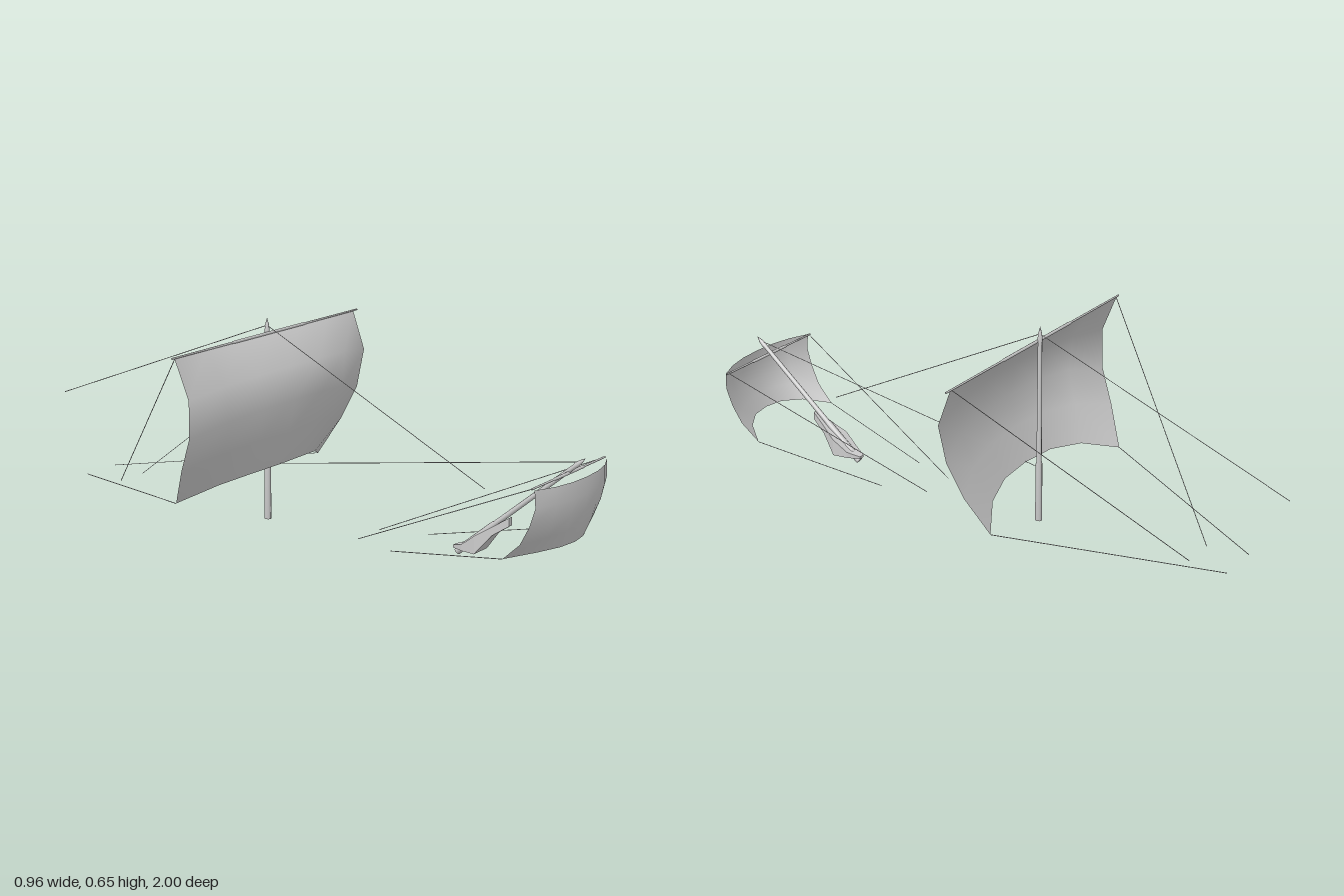
import * as THREE from 'three';

const mat = new THREE.MeshStandardMaterial({ color: 0xcccccc, side: THREE.DoubleSide });
const CX = -0.005; // shared centre line of masts and sails
const v = (x, y, z) => new THREE.Vector3(x, y, z);

function add(group, name, geometry) {
  const mesh = new THREE.Mesh(geometry, mat);
  mesh.name = name;
  group.add(mesh);
  return mesh;
}

// Indexed surface through a grid of points, rows by columns
function gridSurface(rows) {
  const n = rows[0].length, index = [];
  for (let r = 0; r < rows.length - 1; r++) {
    for (let c = 0; c < n - 1; c++) {
      const a = r * n + c, b = a + n;
      index.push(a, b, a + 1, a + 1, b, b + 1);
    }
  }
  const g = new THREE.BufferGeometry().setFromPoints(rows.flat());
  g.setIndex(index);
  g.computeVertexNormals();
  return g;
}

// Each row: half width, centre y, centre z, edge y, edge z
function sail(rows) {
  const columns = [-1, -0.68, -0.35, 0, 0.35, 0.68, 1];
  return gridSurface(rows.map(([w, yc, zc, ye, ze]) => columns.map((u) => {
    const a = Math.abs(u);
    return v(CX + u * w, yc + (ye - yc) * a ** 3, zc + (ze - zc) * a ** 2.4);
  })));
}

// Turned spar running from a to b; profile pairs are [radius, fraction of length]
function spar(group, name, a, b, profile, sides = 8) {
  const length = a.distanceTo(b);
  const points = profile.map(([r, t]) => new THREE.Vector2(r, t * length));
  const mesh = add(group, name, new THREE.LatheGeometry(points, sides));
  mesh.position.copy(a);
  mesh.quaternion.setFromUnitVectors(v(0, 1, 0), b.clone().sub(a).normalize());
}

function rope(group, name, a, b) {
  spar(group, name, a, b, [[0.0012, 0], [0.0012, 1]], 4);
}

export function createModel() {
  const model = new THREE.Group();
  model.name = 'sailingRig';

  // Mast and bowsprit: thick heel, thinner pole, pointed tip
  const pole = [[0, 0], [0.0115, 0], [0.0105, 0.3], [0.0085, 0.31], [0.007, 0.92],
    [0.0085, 0.93], [0.006, 0.965], [0, 1]];
  spar(model, 'mainMast', v(CX, 0, -0.14), v(CX, 0.655, -0.14), pole);
  spar(model, 'bowsprit', v(CX, 0.022, 0.57), v(CX, 0.375, 0.99), pole);

  // Yards taper towards both ends
  const yard = [[0, 0], [0.003, 0], [0.0035, 0.3], [0.005, 0.31], [0.005, 0.69], [0.0035, 0.7], [0.003, 1], [0, 1]];
  spar(model, 'mainYard', v(-0.482, 0.606, -0.133), v(0.482, 0.606, -0.133), yard);
  spar(model, 'spritYard', v(-0.22, 0.324, 0.938), v(0.214, 0.324, 0.938), yard);

  // Billowing square sails with arched feet
  add(model, 'mainSail', sail([
    [0.466, 0.605, -0.133, 0.605, -0.133],
    [0.461, 0.51, -0.047, 0.482, -0.085],
    [0.443, 0.405, -0.032, 0.358, -0.100],
    [0.423, 0.30, -0.053, 0.248, -0.148],
    [0.375, 0.188, -0.090, 0.126, -0.210],
  ]));
  add(model, 'spritSail', sail([
    [0.215, 0.322, 0.995, 0.322, 0.947],
    [0.213, 0.272, 0.999, 0.268, 0.950],
    [0.210, 0.222, 0.994, 0.210, 0.930],
    [0.204, 0.172, 0.982, 0.152, 0.898],
    [0.195, 0.123, 0.965, 0.097, 0.838],
  ]));

  // Beak under the bowsprit: z, half width, top y, bottom y
  const sections = [
    [0.75, 0.009, 0.158, 0.132], [0.70, 0.022, 0.125, 0.098], [0.65, 0.038, 0.093, 0.036],
    [0.60, 0.028, 0.055, 0.035], [0.56, 0.01, 0.042, 0.034],
  ];
  const loops = sections.map(([z, w, t, b]) => [
    v(CX - w, b, z), v(CX - w, t, z), v(CX + w, t, z), v(CX + w, b, z), v(CX - w, b, z),
  ]);
  const cap = (s) => s.map(() => v(CX, (s[0].y + s[1].y) / 2, s[0].z));
  const beak = gridSurface([cap(loops[0]), ...loops, cap(loops[4])]).toNonIndexed();
  beak.computeVertexNormals();
  add(model, 'beak', beak);

  // Stays along the centre line
  rope(model, 'foreStay', v(CX, 0.63, -0.14), v(CX, 0.23, 0.66));
  rope(model, 'backStay', v(CX, 0.63, -0.14), v(CX, 0.30, -1));
  rope(model, 'spritStay', v(CX, 0.182, -0.14), v(CX, 0.36, 0.96));

  // Braces from the yard ends and sheets from the sail corners, both sides
  for (const s of [-1, 1]) {
    const p = (x, y, z) => v(CX + s * x, y, z);
    const side = s > 0 ? 'left' : 'right';
    rope(model, side + 'MainBrace', p(0.46, 0.605, -0.135), p(0.055, 0.045, -0.71));
    rope(model, side + 'MainSheet', p(0.375, 0.126, -0.21), p(0.07, 0.05, -0.845));
    rope(model, side + 'SpritBrace', p(0.21, 0.324, 0.938), p(0.06, 0.017, 0.25));
    rope(model, side + 'SpritSheet', p(0.195, 0.097, 0.838), p(0.105, 0.017, 0.40));
  }
  return model;
}
